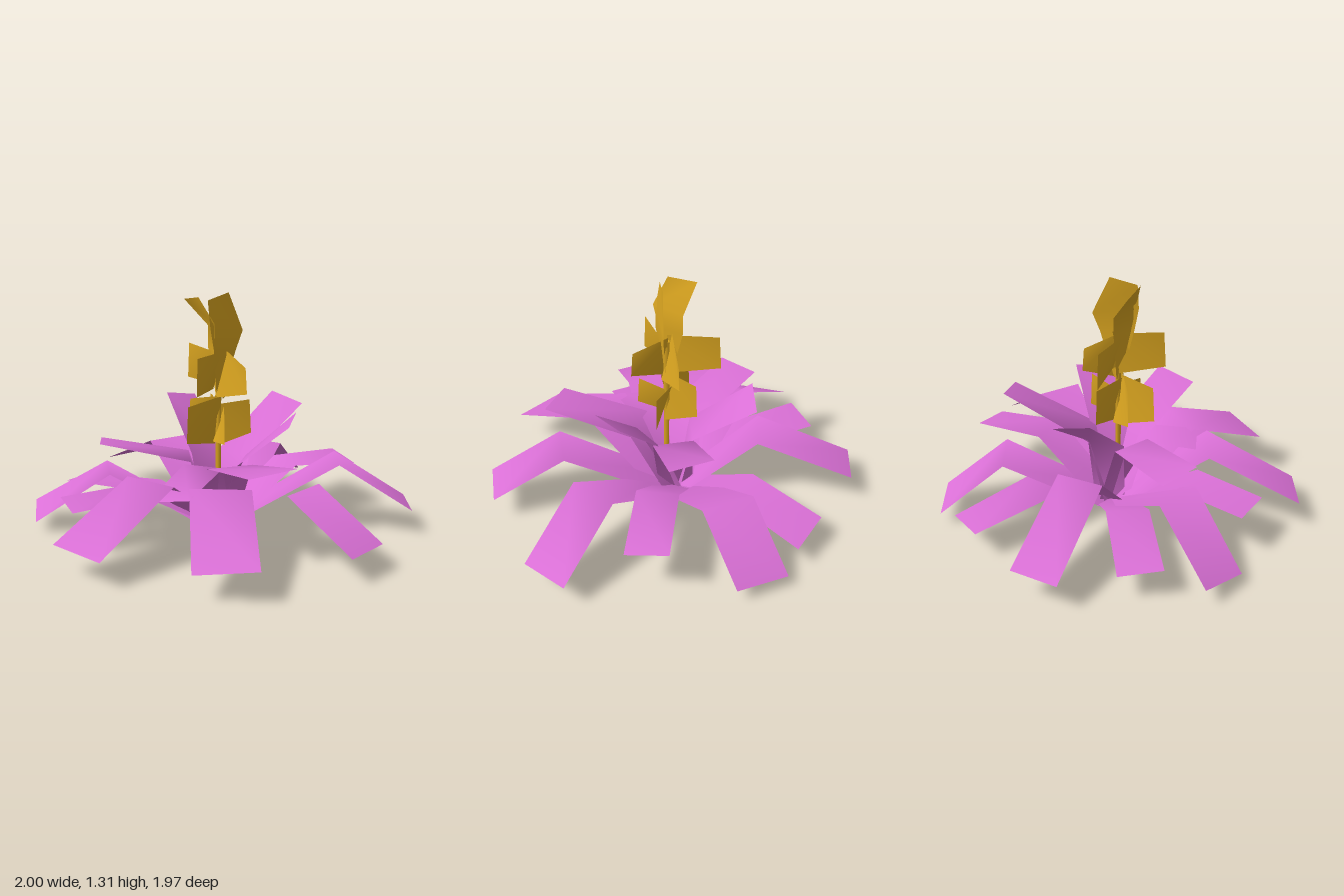
import * as THREE from 'three';

const pink = new THREE.MeshStandardMaterial({ color: 0xda70d6, side: THREE.DoubleSide });
const gold = new THREE.MeshStandardMaterial({ color: 0xdaa520, side: THREE.DoubleSide });

// Ribbon through rows of two edge points, with smooth normals
function strip(name, rows, material) {
  const g = new THREE.BufferGeometry();
  g.setAttribute('position', new THREE.Float32BufferAttribute(rows.flat(2), 3));
  const index = [];
  for (let i = 0; i < rows.length - 1; i++) {
    const k = i * 2;
    index.push(k, k + 1, k + 2, k + 1, k + 3, k + 2);
  }
  g.setIndex(index);
  g.computeVertexNormals();
  const mesh = new THREE.Mesh(g, material);
  mesh.name = name;
  return mesh;
}

// Leaf of nearly constant width: base at the centre, bent at a knee, two tip corners
function leaf(name, [ax, az, bx, bz, ya, yb, kneeR, kneeY]) {
  const out = new THREE.Vector2(ax + bx, az + bz).normalize();
  const side = new THREE.Vector2(bx - ax, bz - az);
  const half = side.length() / 2;
  side.normalize();
  const row = (r, y, w, ox = 0, oz = 0) => [-w, w].map(s =>
    [out.x * r + side.x * s + ox, y, out.y * r + side.y * s + oz]);
  return strip(name, [
    row(0.01, 0, half * 0.85, -0.025, -0.045),
    row(kneeR, kneeY, half),
    [[ax, ya, az], [bx, yb, bz]],
  ], pink);
}

export function createModel() {
  const model = new THREE.Group();
  model.name = 'plant';

  // Drooping outer leaves: tip corners (x, z, x, z), tip heights, knee radius and height
  const outer = [
    [-0.2, -0.99, 0.09, -0.97, 0.07, 0.08, 0.63, 0.34],
    [-0.53, -0.78, -0.31, -0.9, 0.16, 0.13, 0.5, 0.23],
    [0.38, -0.79, 0.57, -0.66, 0.3, 0.27, 0.45, 0.32],
    [-0.98, -0.38, -0.85, -0.6, 0.16, 0.17, 0.5, 0.4],
    [-0.92, 0.14, -0.92, -0.09, 0.17, 0.15, 0.42, 0.18],
    [-0.84, 0.54, -1.0, 0.33, 0.06, 0.1, 0.6, 0.34],
    [0.88, -0.62, 1.0, -0.38, 0.14, 0.14, 0.66, 0.4],
    [1.0, 0.14, 0.93, 0.39, 0.14, 0.14, 0.6, 0.36],
    [-0.45, 0.72, -0.64, 0.57, 0.24, 0.25, 0.45, 0.27],
    [-0.11, 0.98, -0.41, 0.94, 0.14, 0.16, 0.5, 0.39],
    [0.63, 0.77, 0.34, 0.9, 0.165, 0.14, 0.43, 0.37],
  ];
  // Raised inner leaves
  const inner = [
    [0.12, 0.53, -0.1, 0.56, 0.34, 0.31, 0.16, 0.4],
    [0.61, 0.31, 0.43, 0.49, 0.52, 0.49, 0.17, 0.4],
    [-0.53, 0.35, -0.65, 0.16, 0.5, 0.475, 0.15, 0.41],
    [0.38, -0.21, 0.43, 0.01, 0.66, 0.63, 0.14, 0.4],
    [0.05, -0.62, 0.27, -0.56, 0.66, 0.62, 0.14, 0.4],
    [-0.42, -0.18, -0.34, -0.37, 0.69, 0.65, 0.13, 0.41],
  ];
  outer.forEach((d, i) => model.add(leaf(`outerLeaf${i + 1}`, d)));
  inner.forEach((d, i) => model.add(leaf(`innerLeaf${i + 1}`, d)));

  // Flower spike
  const stem = new THREE.Mesh(new THREE.CylinderGeometry(0.018, 0.014, 0.9, 5), gold);
  stem.position.set(0.01, 0.53, 0);
  stem.name = 'stem';
  model.add(stem);

  // Upright side petals, twisted at the stem:
  // outer x, z, then inner low/high and outer low/high heights
  const petals = [
    [-0.25, -0.13, 0.8, 1.0, 0.81, 1.005],
    [0.2, 0.04, 0.75, 1.02, 0.79, 0.93],
    [0.02, 0.26, 0.79, 1.0, 0.8, 1.0],
    [0.03, -0.19, 0.74, 1.02, 0.79, 0.92],
    [-0.15, 0.04, 0.48, 0.76, 0.53, 0.73],
    [-0.08, 0.19, 0.48, 0.76, 0.52, 0.72],
    [0.14, -0.14, 0.49, 0.7, 0.53, 0.72],
    [0.12, 0.14, 0.5, 0.69, 0.53, 0.69],
    [-0.11, -0.13, 0.48, 0.76, 0.53, 0.73],
  ];
  petals.forEach(([x, z, il, ih, ol, oh], i) => {
    const t = 0.03 / Math.hypot(x, z);
    model.add(strip(`sidePetal${i + 1}`, [
      [[0.01 - z * t, il, x * t], [0.01 + z * t, ih, -x * t]],
      [[x, ol, z], [x * 0.95, oh, z * 0.95]],
    ], gold));
  });

  // Two leaning petals at the top, narrowing down to the stem
  model.add(strip('topPetalLeft', [
    [[-0.01, 0.75, -0.01], [0.01, 0.75, 0.01]],
    [[-0.07, 1.02, -0.03], [0.02, 1.02, 0.07]],
    [[-0.07, 1.13, -0.03], [0.04, 1.16, 0.1]],
    [[-0.18, 1.27, 0.03], [-0.05, 1.295, 0.11]],
  ], gold));
  model.add(strip('topPetalRight', [
    [[0.01, 0.75, 0.02], [0.02, 0.75, -0.02]],
    [[0.03, 1.02, 0.09], [0.07, 1.0, -0.09]],
    [[0.02, 1.14, 0.11], [0.09, 1.1, -0.13]],
    [[0.0, 1.28, 0.1], [0.05, 1.31, -0.04]],
  ], gold));

  return model;
}
